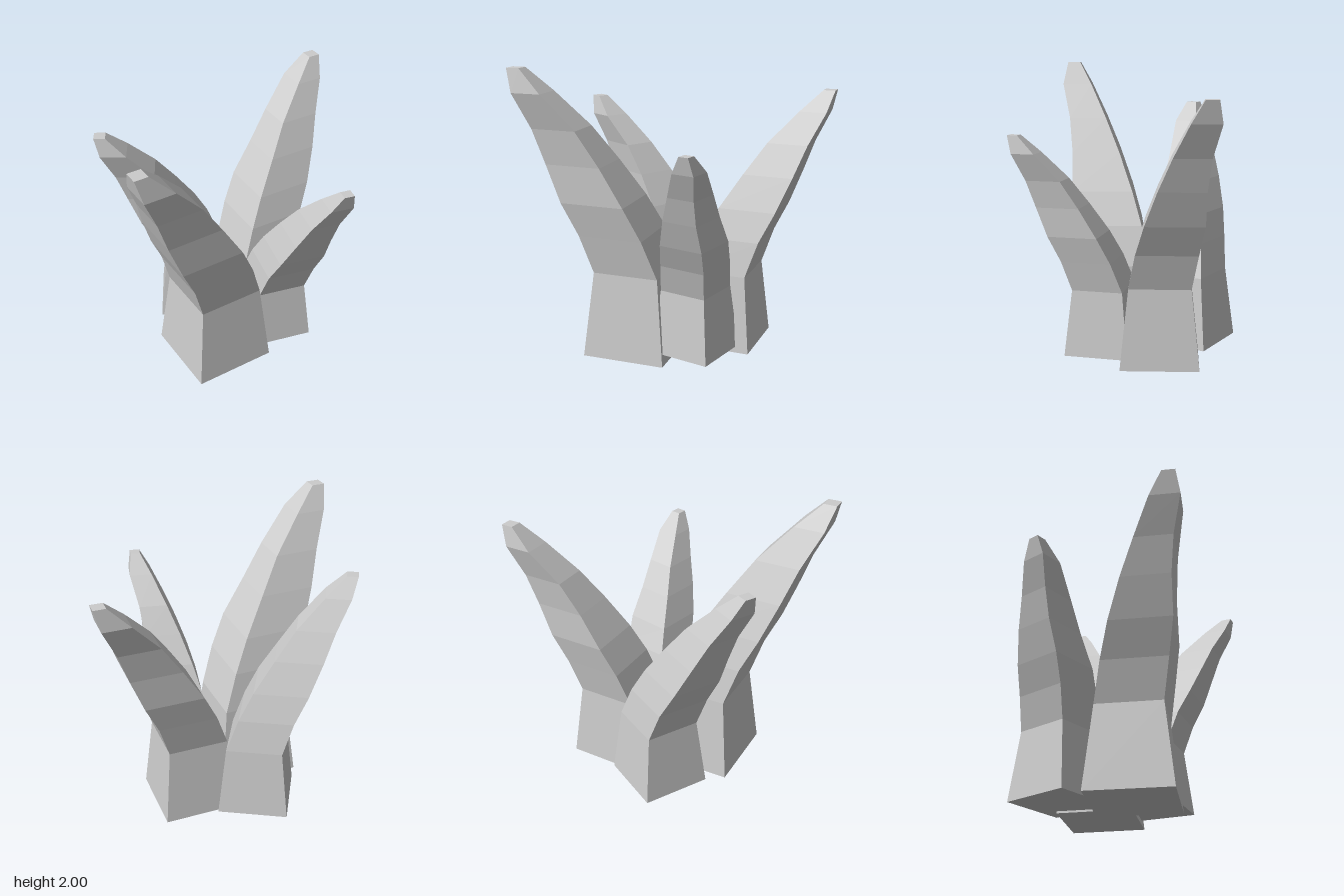
import * as THREE from 'three';

// Leaf cross-sections: [height, sideways lean, forward lean, width, depth]
const SECTIONS = [
  [0.00, 0.00, 0.00, 0.585, 0.585],
  [0.60, 0.00, 0.00, 0.46, 0.465],
  [0.87, 0.05, 0.09, 0.455, 0.455],
  [1.10, 0.105, 0.20, 0.43, 0.45],
  [1.36, 0.155, 0.33, 0.34, 0.39],
  [1.60, 0.22, 0.45, 0.265, 0.315],
  [1.84, 0.31, 0.61, 0.21, 0.21],
  [2.00, 0.343, 0.71, 0.092, 0.092],
];

// A subdivided box whose rings are moved onto the cross-sections
function leafGeometry() {
  const steps = SECTIONS.length - 1;
  const box = new THREE.BoxGeometry(1, 1, 1, 1, steps, 1);
  const pos = box.attributes.position;
  for (let i = 0; i < pos.count; i++) {
    const [y, leanX, leanZ, width, depth] = SECTIONS[Math.round((pos.getY(i) + 0.5) * steps)];
    pos.setXYZ(i, leanX + pos.getX(i) * width, y, leanZ + pos.getZ(i) * depth);
  }
  const flat = box.toNonIndexed();
  flat.computeVertexNormals();
  return flat;
}

// Placement of each leaf: base centre, turn in degrees and uniform scale
const LEAVES = [
  { name: 'frontLeaf', at: [-0.06, 0, 0.225], turn: -59.4, scale: 1 },
  { name: 'backLeaf', at: [0.26, 0.04, -0.315], turn: 118.6, scale: 0.892 },
  { name: 'leftLeaf', at: [0.374, 0.08, 0.06], turn: 17, scale: 0.74 },
  { name: 'rightLeaf', at: [-0.215, 0.055, -0.285], turn: -90, scale: 0.825 },
];

export function createModel() {
  const model = new THREE.Group();
  model.name = 'leafCluster';
  const geometry = leafGeometry();
  const material = new THREE.MeshStandardMaterial({ color: 0xcccccc, flatShading: true });
  for (const { name, at, turn, scale } of LEAVES) {
    const leaf = new THREE.Mesh(geometry, material);
    leaf.name = name;
    leaf.position.set(...at);
    leaf.rotation.y = THREE.MathUtils.degToRad(turn);
    leaf.scale.setScalar(scale);
    model.add(leaf);
  }
  return model;
}
